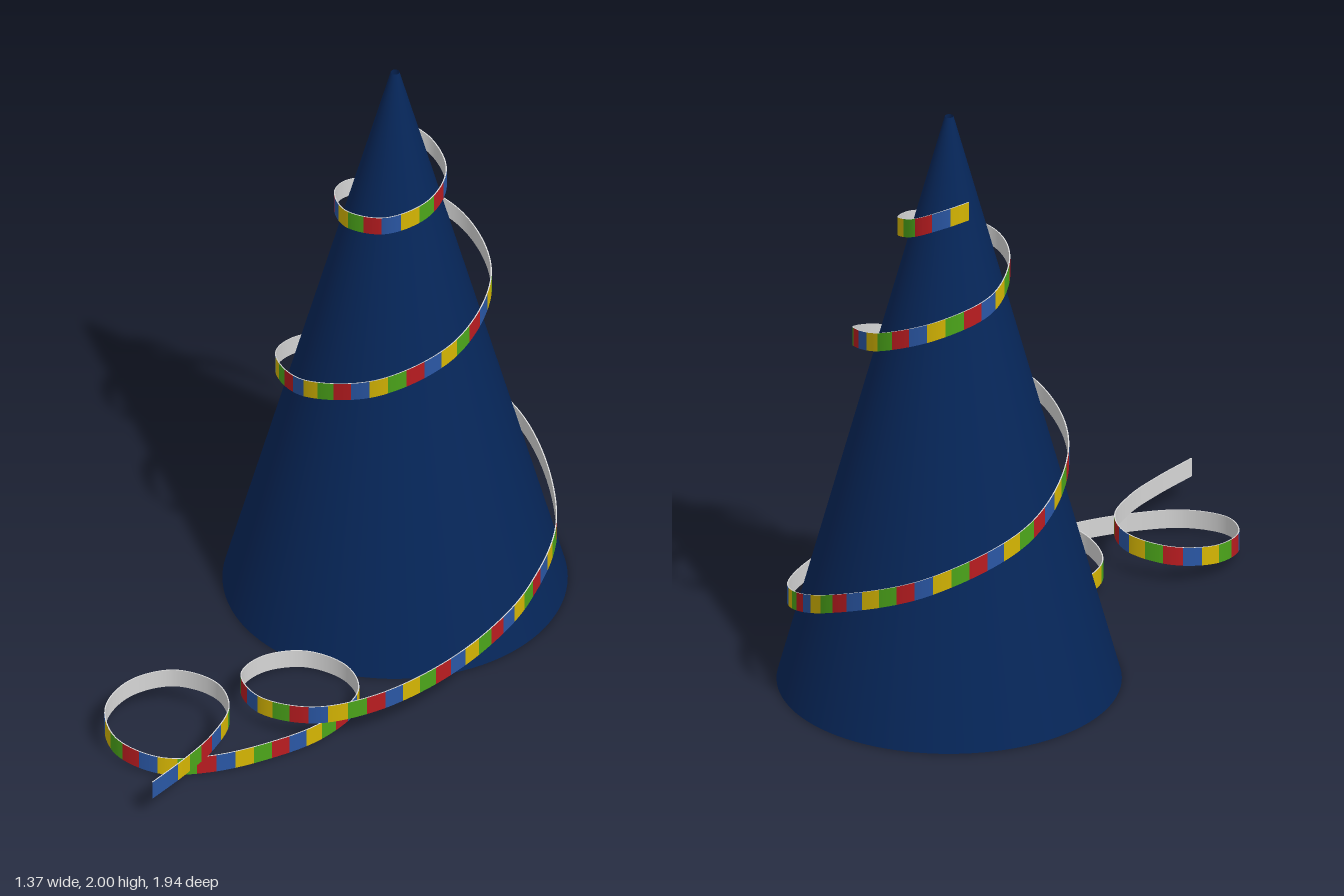
import * as THREE from 'three';

const CX = 0.13, CZ = -0.42; // cone axis
const HALF_H = 0.032;        // half the ribbon height
const HALF_T = 0.002;        // half the ribbon thickness

const mat = (name, color, side = THREE.FrontSide) => {
  const m = new THREE.MeshStandardMaterial({ color, side });
  m.name = name;
  return m;
};

// Ribbon centre line: spiral down the cone, then two loose curls and a tail
function ribbonCurve() {
  const radii = [0.12, 0.165, 0.19, 0.195, 0.25, 0.31, 0.34, 0.385, 0.47, 0.52];
  const heights = [1.69, 1.6, 1.53, 1.475, 1.36, 1.2, 1.0, 0.82, 0.555, 0.27];
  const pts = [new THREE.Vector3(0.055, 1.71, -0.51)];
  for (let i = 0; i <= 2 * (radii.length - 1); i++) {
    const a = Math.floor(i / 2), b = Math.ceil(i / 2), t = i * Math.PI / 4;
    const r = (radii[a] + radii[b]) / 2, y = (heights[a] + heights[b]) / 2;
    pts.push(new THREE.Vector3(CX + r * Math.sin(t), y, CZ - r * Math.cos(t)));
  }
  const loose = [
    [0.605, 0.215, -0.1], [0.495, 0.185, 0.13], [0.34, 0.16, 0.325], [0.16, 0.133, 0.455],
    [-0.02, 0.11, 0.503], [-0.2, 0.085, 0.435], [-0.278, 0.065, 0.29], [-0.22, 0.05, 0.165],
    [-0.09, 0.04, 0.11], [0.045, 0.035, 0.165], [0.1, 0.035, 0.295], [0.01, 0.035, 0.475],
    [-0.15, 0.035, 0.61], [-0.33, 0.035, 0.705], [-0.49, 0.04, 0.737], [-0.635, 0.055, 0.67],
    [-0.685, 0.07, 0.53], [-0.625, 0.085, 0.4], [-0.49, 0.1, 0.345], [-0.345, 0.108, 0.405],
    [-0.287, 0.11, 0.53], [-0.32, 0.11, 0.685], [-0.39, 0.11, 0.825], [-0.48, 0.11, 0.97],
  ];
  for (const p of loose) pts.push(new THREE.Vector3(...p));
  const curve = new THREE.CatmullRomCurve3(pts, false, 'centripetal');
  curve.arcLengthDivisions = 1500;
  return curve;
}

// Ribbon cross-section corners as [outward, up]
const OUT_LOW = [HALF_T, -HALF_H], OUT_TOP = [HALF_T, HALF_H];
const IN_TOP = [-HALF_T, HALF_H], IN_LOW = [-HALF_T, -HALF_H];

// Smooth strips between two cross-section corners, over the given spans of the curve
function stripGeometry(curve, spans, steps, cornerPairs) {
  const pos = [], nor = [], idx = [];
  for (const [u0, u1] of spans) for (const pair of cornerPairs) {
    const base = pos.length / 3;
    for (let i = 0; i <= steps; i++) {
      const u = u0 + (u1 - u0) * i / steps;
      const p = curve.getPointAt(u), t = curve.getTangentAt(u);
      const out = new THREE.Vector3(t.z, 0, -t.x).normalize();
      const [a, b] = pair.map(([o, h]) => p.clone().addScaledVector(out, o).setY(p.y + h));
      const n = b.clone().sub(a).cross(t).normalize();
      pos.push(...a.toArray(), ...b.toArray());
      nor.push(...n.toArray(), ...n.toArray());
      const k = base + 2 * i;
      if (i < steps) idx.push(k, k + 1, k + 2, k + 1, k + 3, k + 2);
    }
  }
  const g = new THREE.BufferGeometry();
  g.setAttribute('position', new THREE.Float32BufferAttribute(pos, 3));
  g.setAttribute('normal', new THREE.Float32BufferAttribute(nor, 3));
  g.setIndex(idx);
  return g;
}

export function createModel() {
  const model = new THREE.Group();
  model.name = 'partyHatWithStreamer';

  // Hollow cone, open at both ends
  const cone = new THREE.Mesh(
    new THREE.CylinderGeometry(0.014, 0.552, 2, 96, 1, true),
    mat('navy', 0x062659, THREE.DoubleSide));
  cone.name = 'cone';
  cone.position.set(CX, 1, CZ);
  model.add(cone);

  // Streamer: coloured blocks outside, plain inside and edges
  const ribbon = new THREE.Group();
  ribbon.name = 'streamer';
  model.add(ribbon);
  const curve = ribbonCurve();
  const colours = [mat('blue', 0x2a57a5), mat('yellow', 0xd6b602), mat('green', 0x4ca61a), mat('red', 0xba1c20)];
  const slots = Math.round(curve.getLength() / 0.063) - 1;
  colours.forEach((m, c) => {
    const spans = [];
    // blocks are counted from the loose end, where the last one is twice as long
    for (let k = c; k < slots - 1; k += 4) {
      spans.push([1 - (k + 2) / slots, 1 - (k === 0 ? 0 : k + 1) / slots]);
    }
    const mesh = new THREE.Mesh(stripGeometry(curve, spans, 4, [[OUT_LOW, OUT_TOP]]), m);
    mesh.name = m.name + 'Blocks';
    ribbon.add(mesh);
  });
  const lining = new THREE.Mesh(
    stripGeometry(curve, [[0, 1]], slots * 4, [[OUT_TOP, IN_TOP], [IN_TOP, IN_LOW], [IN_LOW, OUT_LOW]]),
    mat('paleGrey', 0xd6d6d6));
  lining.name = 'streamerInside';
  ribbon.add(lining);

  return model;
}
